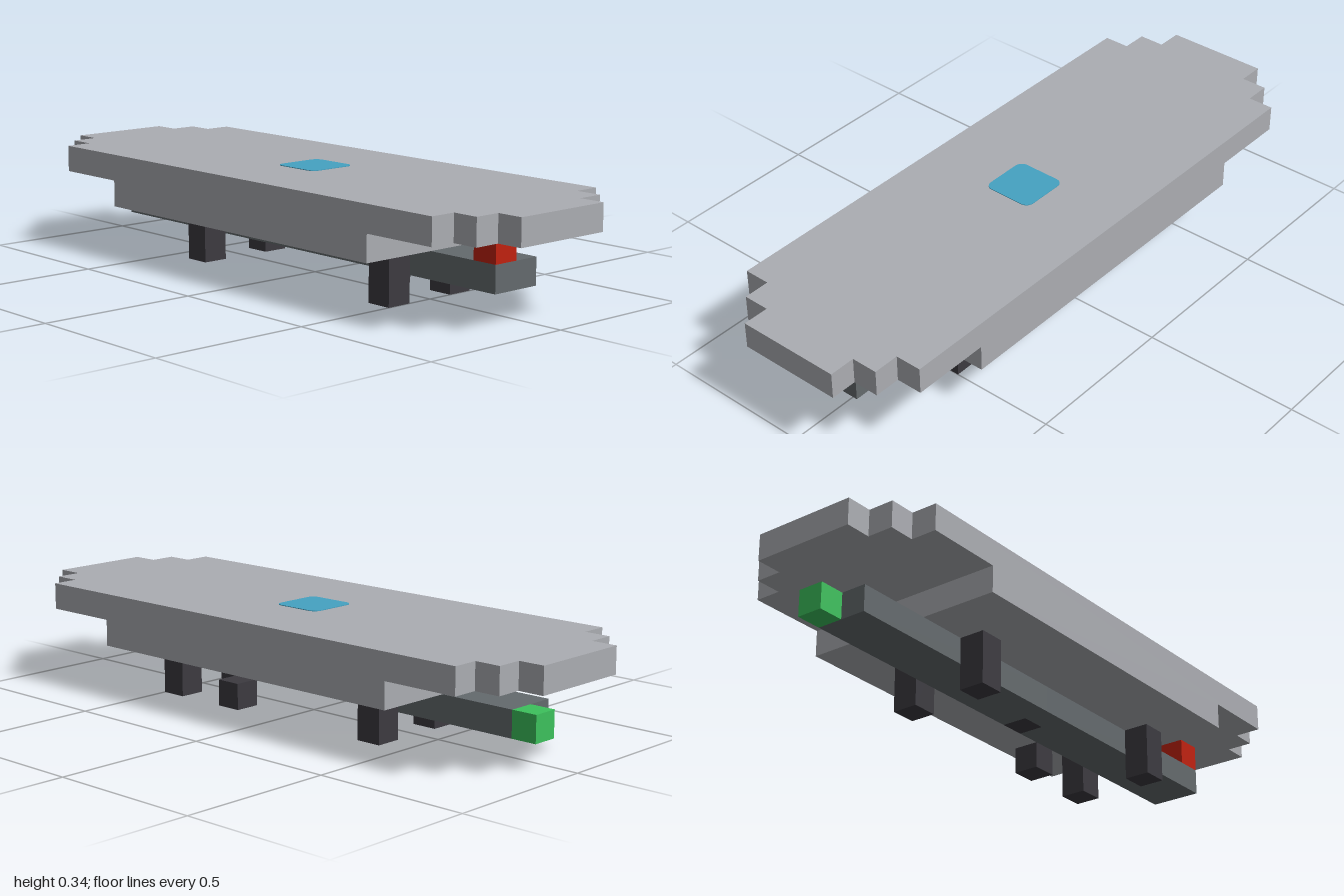
import * as THREE from 'three';

const U = 1 / 12; // one block

function material(name, color) {
  const m = new THREE.MeshStandardMaterial({ color });
  m.name = name;
  return m;
}

export function createModel() {
  const model = new THREE.Group();
  model.name = 'hoverBoard';
  const paleGrey = material('pale grey', 0xabadb2);
  const steel = material('steel grey', 0x646a6d);
  const charcoal = material('charcoal', 0x3c3a40);
  const red = material('red', 0xc0210f);
  const green = material('green', 0x3cc15c);
  const blue = material('blue', 0x45a2c2);

  // Box spanning block coordinates [x0, x1], [y0, y1], [z0, z1]
  function block(name, mat, [x0, x1], [y0, y1], [z0, z1]) {
    const geo = new THREE.BoxGeometry((x1 - x0) * U, (y1 - y0) * U, (z1 - z0) * U);
    const mesh = new THREE.Mesh(geo, mat);
    mesh.position.set((x0 + x1) * U / 2, (y0 + y1) * U / 2, (z0 + z1) * U / 2);
    mesh.name = name;
    model.add(mesh);
  }

  // Deck with stepped ends
  const corner = [[4, 10], [3, 10], [3, 11], [2, 11], [2, 12]];
  const flip = (list, sx, sy) => list.map(([x, y]) => [x * sx, y * sy]);
  const outline = [
    ...corner,
    ...flip(corner, -1, 1).reverse(),
    ...flip(corner, -1, -1),
    ...flip(corner, 1, -1).reverse(),
  ].map(([x, y]) => new THREE.Vector2(x * U, y * U));
  const deckGeo = new THREE.ExtrudeGeometry(new THREE.Shape(outline), { depth: U, bevelEnabled: false });
  deckGeo.rotateX(-Math.PI / 2);
  const deck = new THREE.Mesh(deckGeo, paleGrey);
  deck.position.y = 3 * U;
  deck.name = 'deck';
  model.add(deck);

  // Shorter layer below the deck
  block('deckUnderside', paleGrey, [-4, 4], [2, 3], [-7, 7]);

  // Keel beam, with one dark block set flush into its left side
  block('keelFront', steel, [-1, 1], [1, 2], [1, 10]);
  block('keelBack', steel, [-1, 1], [1, 2], [-10, 0]);
  block('keelMiddle', steel, [-1, 0], [1, 2], [0, 1]);
  block('keelInset', charcoal, [0, 1], [1, 2], [0, 1]);

  // Four legs and a small foot block
  for (const x of [-2, 1]) {
    block('frontLeg', charcoal, [x, x + 1], [0, 2], [5, 6]);
    block('backLeg', charcoal, [x, x + 1], [0, 2], [-5, -4]);
  }
  block('footBlock', charcoal, [1, 2], [0, 1], [2, 3]);

  // Coloured end lights
  block('frontLight', red, [-1, 0], [2, 3], [9, 10]);
  block('backLight', green, [0, 1], [1, 2], [-11, -10]);

  // Rounded panel on top of the deck
  const h = U, r = 0.025;
  const panelShape = new THREE.Shape();
  for (let i = 0; i < 4; i++) {
    const cx = (i === 0 || i === 3 ? 1 : -1) * (h - r);
    const cy = (i < 2 ? 1 : -1) * (h - r);
    panelShape.absarc(cx, cy, r, i * Math.PI / 2, (i + 1) * Math.PI / 2, false);
  }
  const panelGeo = new THREE.ExtrudeGeometry(panelShape, { depth: 0.002, bevelEnabled: false, curveSegments: 3 });
  panelGeo.rotateX(-Math.PI / 2);
  const panel = new THREE.Mesh(panelGeo, blue);
  panel.position.y = 4 * U;
  panel.name = 'topPanel';
  model.add(panel);

  return model;
}
